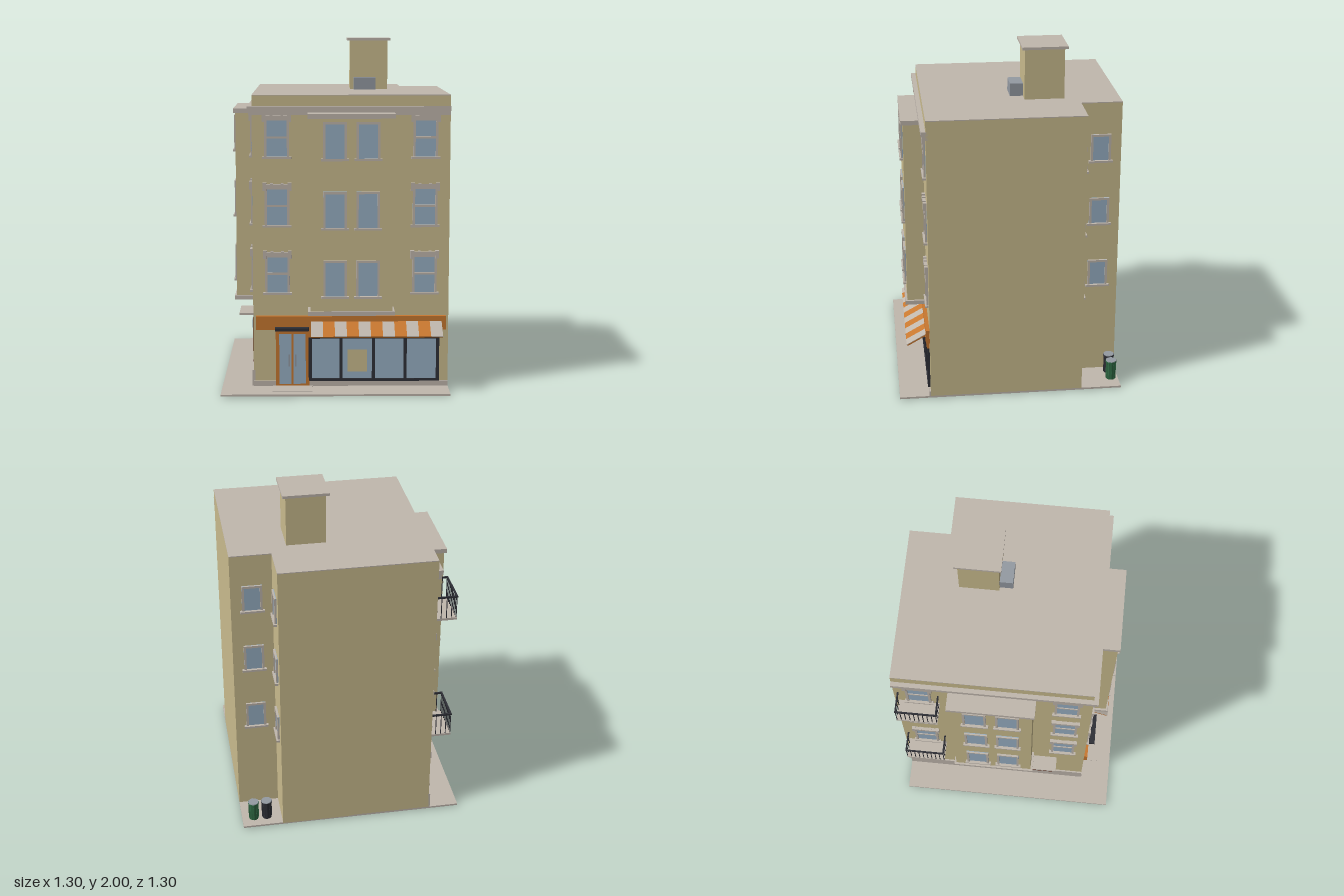
import * as THREE from 'three';

const mat = (name, color) => {
  const m = new THREE.MeshStandardMaterial({ color });
  m.name = name;
  return m;
};

export function createModel() {
  const M = {
    wall: mat('tan wall', 0xcabc8e),
    stone: mat('grey stone', 0xc0b7ad),
    glass: mat('blue glass', 0x98b0c4),
    orange: mat('orange paint', 0xc87830),
    dark: mat('dark metal', 0x2e2f36),
    steel: mat('steel grey', 0x949aa2),
    green: mat('green bin', 0x2f6a44),
    brown: mat('brown door', 0x66301e),
  };
  const model = new THREE.Group();
  model.name = 'cornerBuilding';

  const group = (parent, name, x = 0, y = 0, z = 0, turn = 0) => {
    const g = new THREE.Group();
    g.name = name;
    g.position.set(x, y, z);
    g.rotation.y = turn;
    parent.add(g);
    return g;
  };
  // Box given by its extents
  const box = (parent, name, m, x0, x1, y0, y1, z0, z1) => {
    const mesh = new THREE.Mesh(new THREE.BoxGeometry(x1 - x0, y1 - y0, z1 - z0), m);
    mesh.position.set((x0 + x1) / 2, (y0 + y1) / 2, (z0 + z1) / 2);
    mesh.name = name;
    parent.add(mesh);
    return mesh;
  };

  // Window on the plane z = 0, centred on x = 0, standing on its sill at y = 0
  const addWindow = (parent, x, y, z, w, h, style = 'plain') => {
    const g = group(parent, 'window', x, y, z);
    const a = w / 2, t = 0.013;
    box(g, 'glass', M.glass, -a, a, 0.01, h, 0, 0.004);
    box(g, 'sill', M.stone, -a - 0.012, a + 0.012, 0, 0.012, 0, 0.02);
    for (const s of [-1, 1]) {
      const c = s * (a - t / 2);
      box(g, 'jamb', M.stone, c - t / 2, c + t / 2, 0.012, h - t, 0, 0.012);
    }
    box(g, 'head', M.stone, -a, a, h - t, h, 0, 0.012);
    if (style === 'ornate') {
      box(g, 'meetingRail', M.stone, -a + t, a - t, h * 0.5, h * 0.5 + 0.012, 0, 0.009);
      box(g, 'lintel', M.stone, -a - 0.008, a + 0.008, h - 0.005, h + 0.016, 0, 0.018);
      for (const s of [-1, 1]) {
        const e = s * (a + 0.001), k = s * 0.03;
        box(g, 'lintelEar', M.stone, e - 0.011, e + 0.011, h - 0.022, h + 0.024, 0, 0.02);
        box(g, 'lintelBlock', M.stone, k - 0.008, k + 0.008, h, h + 0.021, 0, 0.02);
      }
    }
  };
  const floors = [0.555, 0.945, 1.335];

  // Pavement and entrance step
  box(model, 'pavement', M.stone, -0.65, 0.65, 0.004, 0.015, -0.65, 0.65);
  box(model, 'entranceStep', M.stone, -0.36, -0.13, 0, 0.018, 0.46, 0.59);

  // Main block: plan with a notch at the back corner
  const plan = new THREE.Shape();
  [[-0.47, -0.47], [0.65, -0.47], [0.65, 0.415], [0.415, 0.415], [0.415, 0.65], [-0.47, 0.65]]
    .forEach(([x, y], i) => (i ? plan.lineTo(x, y) : plan.moveTo(x, y)));
  const slab = (name, m, y0, y1) => {
    const geo = new THREE.ExtrudeGeometry(plan, { depth: y1 - y0, bevelEnabled: false });
    geo.rotateX(-Math.PI / 2);
    const mesh = new THREE.Mesh(geo, m);
    mesh.position.y = y0;
    mesh.name = name;
    model.add(mesh);
  };
  slab('walls', M.wall, 0.01, 1.69);
  slab('roof', M.stone, 1.69, 1.695);

  // Upper facade, used on the front and on the side street
  const addFacade = (name, x, z, turn) => {
    const g = group(model, name, x, 0, z, turn);
    box(g, 'bay', M.wall, -0.232, 0.232, 0.475, 1.575, -0.01, 0.112);
    box(g, 'bayCap', M.stone, -0.245, 0.245, 1.57, 1.596, -0.01, 0.124);
    box(g, 'bayLedge', M.stone, -0.245, 0.245, 0.456, 0.48, -0.01, 0.124);
    for (const y of floors) {
      for (const s of [-1, 1]) {
        addWindow(g, s * 0.0925, y, 0.112, 0.132, 0.217);
        addWindow(g, s * 0.42, y, 0, 0.14, 0.23, 'ornate');
      }
    }
    return g;
  };
  addFacade('frontFacade', 0.09, 0.47, 0);
  const side = addFacade('sideFacade', -0.47, -0.09, -Math.PI / 2);

  // Cornice in two steps around the street corner
  for (const [y0, y1, d] of [[1.582, 1.605, 0.018], [1.605, 1.632, 0.026]]) {
    box(model, 'frontCornice', M.stone, -0.47 - d, 0.65, y0, y1, 0.46, 0.47 + d);
    box(model, 'sideCornice', M.stone, -0.47 - d, -0.46, y0, y1, -0.65, 0.46);
  }

  // Plinths
  box(model, 'frontPlinth', M.stone, -0.47, 0.65, 0.015, 0.045, 0.46, 0.478);
  box(model, 'sidePlinth', M.stone, -0.479, -0.46, 0.015, 0.11, -0.65, 0.47);

  // Side street ground floor: windows, door and canopy
  addWindow(side, -0.42, 0.13, 0, 0.14, 0.225, 'ornate');
  addWindow(side, -0.14, 0.13, 0, 0.14, 0.225, 'ornate');
  const sideDoor = group(side, 'sideDoor', 0.29, 0, 0);
  box(sideDoor, 'doorLeaf', M.brown, -0.08, 0.08, 0.09, 0.37, 0, 0.012);
  box(sideDoor, 'doorLight', M.glass, -0.065, 0.065, 0.31, 0.36, 0.01, 0.016);
  box(sideDoor, 'doorCanopy', M.stone, -0.1, 0.1, 0.393, 0.405, 0, 0.09);

  // Balconies with railings
  for (const y of [0.518, 1.303]) {
    const b = group(side, 'balcony', -0.422, y, 0);
    box(b, 'balconyFloor', M.stone, -0.117, 0.117, 0, 0.014, 0, 0.12);
    box(b, 'frontRail', M.dark, -0.118, 0.118, 0.14, 0.15, 0.112, 0.121);
    for (const s of [-1, 1]) {
      const c = s * 0.1135;
      box(b, 'sideRail', M.dark, c - 0.0045, c + 0.0045, 0.14, 0.15, 0, 0.112);
      for (const z of [0.03, 0.06, 0.088]) {
        box(b, 'sideBar', M.dark, c - 0.002, c + 0.002, 0.014, 0.14, z - 0.002, z + 0.002);
      }
    }
    for (let i = 0; i <= 9; i++) {
      const x = -0.1135 + i * 0.227 / 9;
      box(b, 'frontBar', M.dark, x - 0.002, x + 0.002, 0.014, 0.14, 0.114, 0.118);
    }
  }

  // Shop sign band and window header
  const shop = group(model, 'shopfront', 0, 0, 0.47);
  box(shop, 'signBand', M.orange, -0.455, 0.635, 0.35, 0.43, 0, 0.022);
  box(shop, 'windowHeader', M.orange, -0.15, 0.605, 0.303, 0.35, 0, 0.016);

  // Shop window with dark frame and a poster
  box(shop, 'shopGlass', M.glass, -0.145, 0.59, 0.05, 0.305, 0, 0.006);
  box(shop, 'shopSillBar', M.dark, -0.148, 0.6, 0.045, 0.06, 0, 0.014);
  box(shop, 'shopTopBar', M.dark, -0.148, 0.6, 0.296, 0.304, 0, 0.014);
  for (const x of [-0.144, 0.033, 0.22, 0.403, 0.59]) {
    box(shop, 'mullion', M.dark, x - 0.009, x + 0.009, 0.05, 0.304, 0, 0.014);
  }
  box(shop, 'poster', M.wall, 0.07, 0.182, 0.1, 0.23, 0.006, 0.009);

  // Double entrance door under a dark canopy
  box(shop, 'doorFrame', M.orange, -0.342, -0.15, 0.016, 0.35, 0, 0.012);
  for (const s of [-1, 1]) {
    const c = -0.246 + s * 0.041, h = -0.246 + s * 0.018;
    box(shop, 'doorGlass', M.glass, c - 0.035, c + 0.035, 0.03, 0.325, 0.012, 0.015);
    box(shop, 'doorHandle', M.steel, h - 0.004, h + 0.004, 0.135, 0.205, 0.015, 0.022);
  }
  box(shop, 'doorCanopy', M.dark, -0.345, -0.152, 0.35, 0.368, 0, 0.062);

  // Striped sloping awning
  const awning = group(shop, 'awning', 0, 0.4, 0.015);
  awning.rotation.x = Math.atan2(0.065, 0.115);
  box(awning, 'awningSheet', M.orange, -0.14, 0.61, -0.008, 0, 0, 0.132);
  const stripe = 0.75 / 11;
  for (let i = 0; i < 11; i++) {
    const x = -0.14 + i * stripe;
    box(awning, 'awningStripe', i % 2 ? M.orange : M.stone, x, x + stripe, 0, 0.003, 0, 0.133);
  }

  // Windows inside the back notch
  const notchX = group(model, 'notchSideWindows', 0.415, 0, -0.532, Math.PI / 2);
  const notchZ = group(model, 'notchBackWindows', 0.53, 0, -0.415, Math.PI);
  for (const y of [0.57, 0.96, 1.345]) {
    for (const g of [notchX, notchZ]) addWindow(g, 0, y - 0.005, 0, 0.115, 0.167);
  }

  // Roof stair house and air conditioner
  box(model, 'stairHouse', M.wall, 0.098, 0.322, 1.69, 1.985, -0.333, -0.107);
  box(model, 'stairHouseCap', M.stone, 0.08, 0.34, 1.985, 2, -0.35, -0.092);
  box(model, 'airConditioner', M.steel, 0.118, 0.247, 1.695, 1.768, -0.107, -0.032);

  // Ribbed bins in the notch
  for (const [x, m] of [[0.505, M.dark], [0.583, M.green]]) {
    const bin = group(model, 'bin', x, 0.035, -0.6);
    const part = (name, mm, r0, r1, h, y) => {
      const mesh = new THREE.Mesh(new THREE.CylinderGeometry(r0, r1, h, 12), mm);
      mesh.material.flatShading = true;
      mesh.position.y = y;
      mesh.name = name;
      bin.add(mesh);
    };
    part('binBody', m, 0.028, 0.027, 0.11, 0.055);
    part('binRim', m, 0.033, 0.033, 0.008, 0.112);
    part('binLid', M.steel, 0.031, 0.032, 0.004, 0.118);
    for (let i = 0; i < 12; i++) {
      const a = (i / 12) * Math.PI * 2;
      box(bin, 'binRib', m, -0.002, 0.002, 0.004, 0.108, -0.002, 0.002)
        .position.set(Math.cos(a) * 0.028, 0.056, Math.sin(a) * 0.028);
    }
  }
  return model;
}
